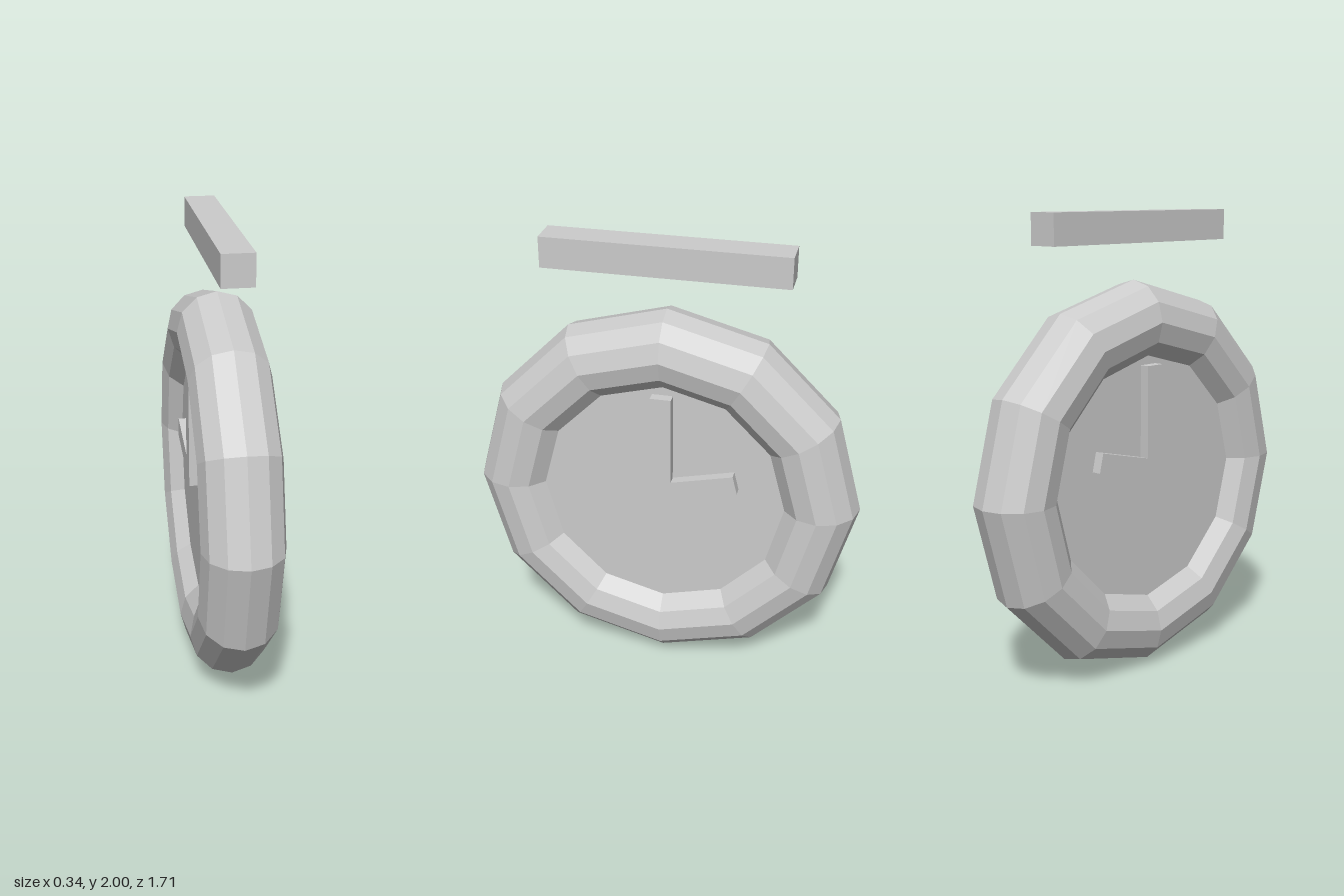
import * as THREE from 'three';

const CENTRE_Y = 0.855;

export function createModel() {
  const model = new THREE.Group();
  const material = new THREE.MeshStandardMaterial({ color: 0xcccccc, flatShading: true });

  const add = (name, geometry, y) => {
    const mesh = new THREE.Mesh(geometry, material);
    mesh.name = name;
    mesh.position.y = y;
    model.add(mesh);
  };

  // Chunky twelve-sided rim, its axis along x
  add('rim', new THREE.TorusGeometry(0.684, 0.171, 12, 12).rotateY(Math.PI / 2), CENTRE_Y);

  // Dial filling the rim, the same on both sides
  add('dial', new THREE.CylinderGeometry(0.54, 0.54, 0.174, 12).rotateZ(Math.PI / 2), CENTRE_Y);

  // Joined clock hands, running through the dial to stand out on both sides
  const outline = [
    [-0.045, -0.01], [0.335, 0.082], [0.315, 0.165],
    [0.045, 0.1], [0.045, 0.5], [-0.045, 0.5],
  ].map(([x, y]) => new THREE.Vector2(x, y));
  const depth = 0.26;
  const hands = new THREE.ExtrudeGeometry(new THREE.Shape(outline), { depth, bevelEnabled: false });
  add('hands', hands.translate(0, 0, -depth / 2).rotateY(Math.PI / 2), CENTRE_Y);

  // Separate bar floating above the rim
  add('topBar', new THREE.BoxGeometry(0.134, 0.132, 1.034), 1.934);

  return model;
}
